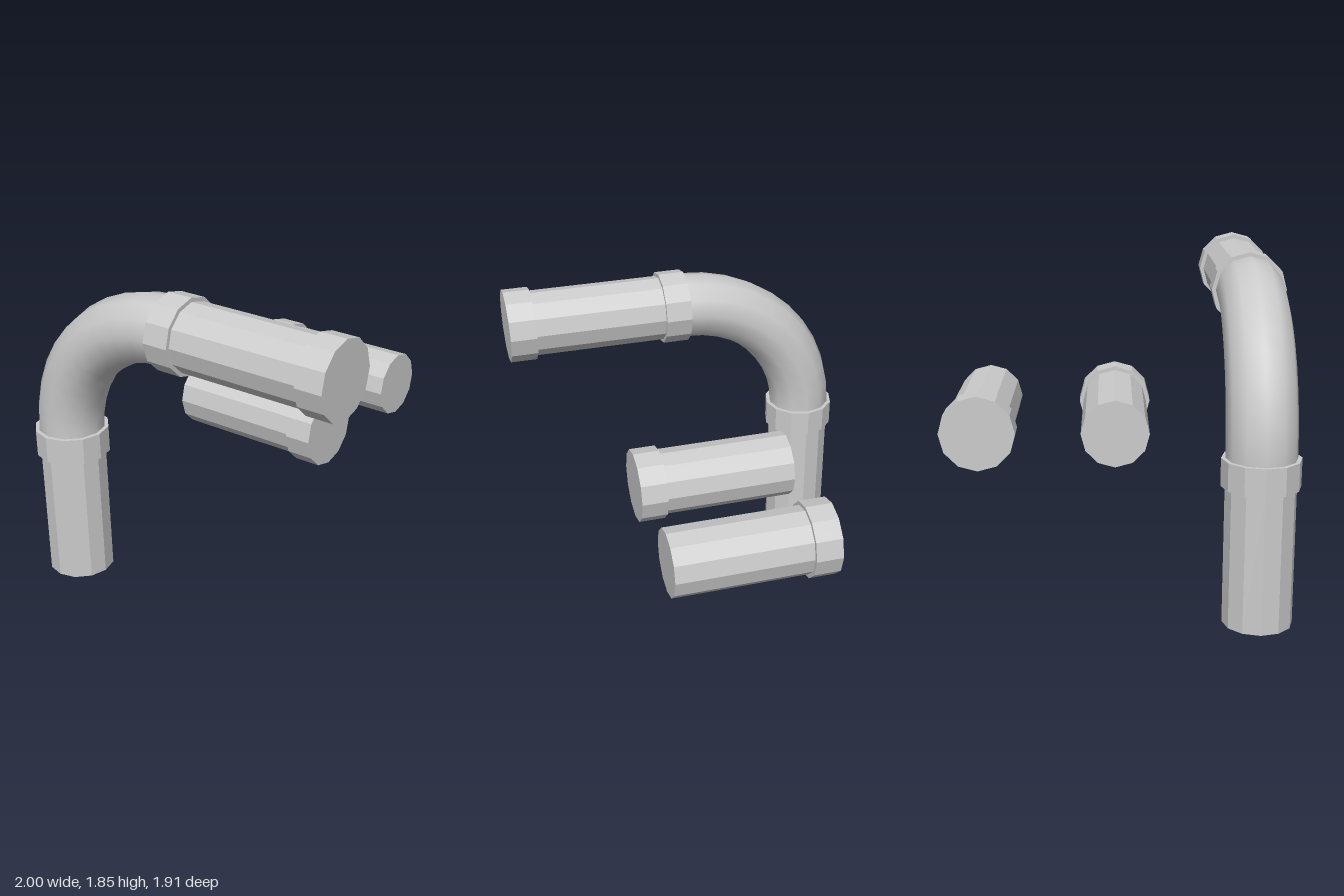
import * as THREE from 'three';

const SIDES = 12;
const PIPE_R = 0.186;
const COLLAR_R = 0.208;
const BEND_R = 0.745;

const faceted = new THREE.MeshStandardMaterial({ color: 0xcccccc, flatShading: true });
const smooth = new THREE.MeshStandardMaterial({ color: 0xcccccc });

// Closed 12-sided cylinder spanning from..to along the local y axis
function section(name, radius, from, to) {
  const geometry = new THREE.CylinderGeometry(radius, radius, to - from, SIDES);
  geometry.translate(0, (from + to) / 2, 0);
  const mesh = new THREE.Mesh(geometry, faceted);
  mesh.name = name;
  return mesh;
}

// Straight pipe made of [kind, from, to] pieces laid along one axis
function pipe(name, pieces, position, horizontal) {
  const group = new THREE.Group();
  group.name = name;
  for (const [kind, from, to] of pieces) {
    group.add(section(kind, kind === 'collar' ? COLLAR_R : PIPE_R, from, to));
  }
  if (horizontal) group.rotation.z = -Math.PI / 2; // local +y becomes +x
  group.position.set(...position);
  return group;
}

export function createModel() {
  const model = new THREE.Group();
  model.name = 'pipeSet';

  // Long bent pipe at the front: upright leg, elbow, horizontal arm
  const bentPipe = new THREE.Group();
  bentPipe.name = 'bentPipe';
  bentPipe.position.z = 0.745;
  bentPipe.add(pipe('uprightPipe',
    [['tube', 0, 0.75], ['collar', 0.75, 0.9]], [-0.793, 0, 0], false));
  bentPipe.add(pipe('upperPipe',
    [['collar', -0.048, 0.1], ['tube', 0.1, 0.85], ['collar', 0.85, 1]], [0, 0.9 + BEND_R, 0], true));

  // Smooth quarter-circle elbow
  const elbow = new THREE.Mesh(
    new THREE.TorusGeometry(BEND_R, PIPE_R, SIDES, 10, Math.PI / 2), smooth);
  elbow.name = 'elbow';
  elbow.rotation.z = Math.PI / 2;
  elbow.position.set(-0.048, 0.9, 0);
  bentPipe.add(elbow);
  model.add(bentPipe);

  // Two loose straight pipes with collars at opposite ends
  model.add(pipe('middlePipe',
    [['tube', -0.45, 0.297], ['collar', 0.297, 0.445]], [0, 0.928, 0], true));
  model.add(pipe('backPipe',
    [['collar', -0.45, -0.302], ['tube', -0.302, 0.445]], [0, 0.928, -0.745], true));

  return model;
}
